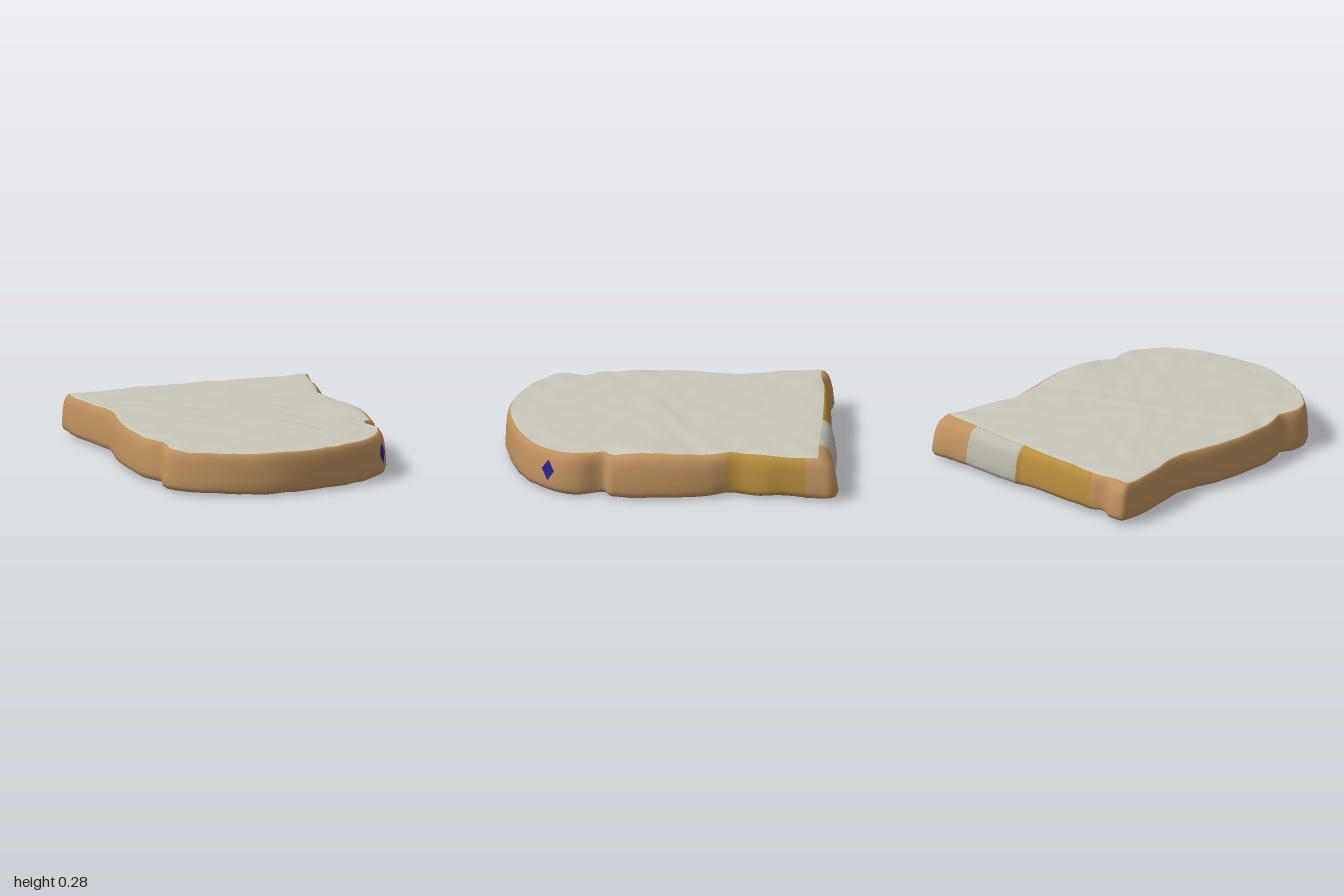
import * as THREE from 'three';

// Outline of the slice, clockwise from the back left corner:
// x, z at the widest, then the shift towards the edge of the top face
const OUTLINE = [
  [-.78, -.92, .03, .06], [-.69, -.94, .02, .08], [-.60, -.90, 0, .03], [-.50, -.925, 0, .04],
  [.05, -.952, 0, .06], [.09, -.972, 0, .08], [.56, -.98, 0, .10], [.75, -1, -.03, .12],
  [.785, -.96, -.05, .09], [.775, -.87, -.05, .02], [.745, -.69, -.04, 0], [.74, -.56, -.06, 0],
  [.695, -.385, -.05, 0], [.745, -.24, -.07, 0], [.78, -.03, -.07, 0], [.78, .26, -.07, 0],
  [.76, .355, -.06, -.01], [.695, .39, -.04, 0], [.73, .53, -.05, 0], [.705, .65, -.05, -.02],
  [.585, .80, -.03, -.03], [.40, .90, -.02, -.03], [.16, .965, 0, -.03], [-.08, .99, 0, -.03],
  [-.315, .945, .01, -.03], [-.53, .84, .02, -.02], [-.66, .725, .03, -.01], [-.69, .635, .04, 0],
  [-.66, .52, .03, 0], [-.70, .44, .03, 0], [-.74, .24, .03, 0], [-.74, -.05, .03, 0],
  [-.695, -.37, .03, 0], [-.755, -.61, .03, 0], [-.785, -.82, .03, .02],
];
const AROUND = 210, CAP = 16;

// Crust cross-section: scale about the centre, share of the top shift, share of the height
const CRUST = [
  [.965, 0, 0], [.99, 0, .05], [1, 0, .16], [1, .06, .35], [1, .12, .55],
  [1, .25, .74], [1, .42, .87], [1, .7, .96], [1, 1, 1],
];

const closed = (points) =>
  new THREE.CatmullRomCurve3(points.map(([x, z]) => new THREE.Vector3(x, 0, z)), true);
const baseCurve = closed(OUTLINE);
const topCurve = closed(OUTLINE.map(([x, z, dx, dz]) => [x + dx, z + dz]));

const bell = (x, z, cx, cz, w) => Math.exp(-((x - cx) ** 2 + (z - cz) ** 2) / (w * w));

// Gentle wrinkles of the crumb
const wrinkle = (x, z) =>
  .0022 * Math.sin(17 * x + 6 * Math.sin(7 * z)) + .0018 * Math.sin(23 * z - 9 * x + 3 * Math.sin(11 * x));
const topHeight = (x, z) =>
  .252 + .016 * bell(x, z, 0, .1, .6) + .02 * bell(x, z, .67, .12, .16) + wrinkle(x, z);
const bottomHeight = (x, z) => Math.max(0, .012 - .006 * x - .006 * z + wrinkle(z, x));

// Point on the crust
function crustPoint(u, [scale, shift, h]) {
  const p = baseCurve.getPoint(u).lerp(topCurve.getPoint(u), shift);
  p.x *= scale;
  p.z *= scale;
  p.y = THREE.MathUtils.lerp(bottomHeight(p.x, p.z), topHeight(p.x, p.z), h);
  return p;
}

// Point on the top or bottom crumb, k = 0 at the centre and 1 at the crust
function crumbPoint(u, k, isTop) {
  const p = crustPoint(u, isTop ? CRUST[CRUST.length - 1] : CRUST[0]);
  p.x *= k;
  p.z *= k;
  p.y = isTop ? topHeight(p.x, p.z) : bottomHeight(p.x, p.z);
  // shallow groove inside the rounded front rim
  if (isTop && p.z > .3) p.y -= .009 * Math.exp(-(((k - .94) / .03) ** 2));
  return p;
}

// Baked patches on the crust, chosen by position
function crustTone({ x, z }) {
  if (z < -.85 && x > .08 && x < .42) return 'paleCrust';
  if (z < -.85 && x > -.52 && x <= .08) return 'goldenCrust';
  if (x > .6 && z > -.82 && z < -.36) return 'goldenCrust';
  return 'crust';
}

function createModel() {
  const group = new THREE.Group();
  group.name = 'breadSlice';
  const colors = {
    topCrumb: 0xcac7bb, bottomCrumb: 0xcac7bb,
    crust: 0xc0935f, goldenCrust: 0xb98f3f, paleCrust: 0xbcb8ac,
  };

  // Rings run from the bottom centre outwards, up the crust and back to the top centre
  const rings = [];
  for (let j = 0; j < CAP; j++) rings.push((u) => crumbPoint(u, j / CAP, false));
  for (const row of CRUST) rings.push((u) => crustPoint(u, row));
  for (let j = CAP - 1; j >= 0; j--) rings.push((u) => crumbPoint(u, j / CAP, true));

  const points = rings.flatMap((ring) => Array.from({ length: AROUND }, (_, i) => ring(i / AROUND)));
  const parts = { topCrumb: [], bottomCrumb: [], crust: [], goldenCrust: [], paleCrust: [] };
  for (let j = 0; j < rings.length - 1; j++) {
    for (let i = 0; i < AROUND; i++) {
      const n = (i + 1) % AROUND;
      const a = j * AROUND + i, b = j * AROUND + n, c = b + AROUND, d = a + AROUND;
      const part = j < CAP ? 'bottomCrumb' : j >= CAP + CRUST.length - 1 ? 'topCrumb' : crustTone(points[a]);
      parts[part].push(b, a, d, b, d, c);
    }
  }

  // Shared smooth normals keep the joints between the parts seamless
  const body = new THREE.BufferGeometry().setFromPoints(points);
  body.setIndex(Object.values(parts).flat());
  body.computeVertexNormals();
  for (const [name, index] of Object.entries(parts)) {
    const geometry = body.clone();
    geometry.setIndex(index);
    const mesh = new THREE.Mesh(geometry, new THREE.MeshStandardMaterial({ color: colors[name] }));
    mesh.name = name;
    group.add(mesh);
  }

  // Small blue diamond on the front left corner, laid on the crust
  let best = 0, nearest = Infinity;
  for (let i = 0; i < 700; i++) {
    const p = baseCurve.getPoint(i / 700);
    const distance = Math.hypot(p.x - .67, p.z - .73);
    if (distance < nearest) [nearest, best] = [distance, i / 700];
  }
  const onCrust = (du, h, shift) => {
    const p = crustPoint(best + du, [1, shift, h]);
    return p.add(new THREE.Vector3(.004, 0, .004));
  };
  const w = .0068;
  const diamond = new THREE.BufferGeometry().setFromPoints([
    onCrust(0, .55, .12), onCrust(0, .29, .05), onCrust(-w, .55, .12), onCrust(0, .8, .32), onCrust(w, .55, .12),
  ]);
  diamond.setIndex([0, 1, 2, 0, 2, 3, 0, 3, 4, 0, 4, 1]);
  diamond.computeVertexNormals();
  const mark = new THREE.Mesh(diamond, new THREE.MeshStandardMaterial({ color: 0x2a2490, side: THREE.DoubleSide }));
  mark.name = 'blueMark';
  group.add(mark);

  return group;
}

export { createModel };
